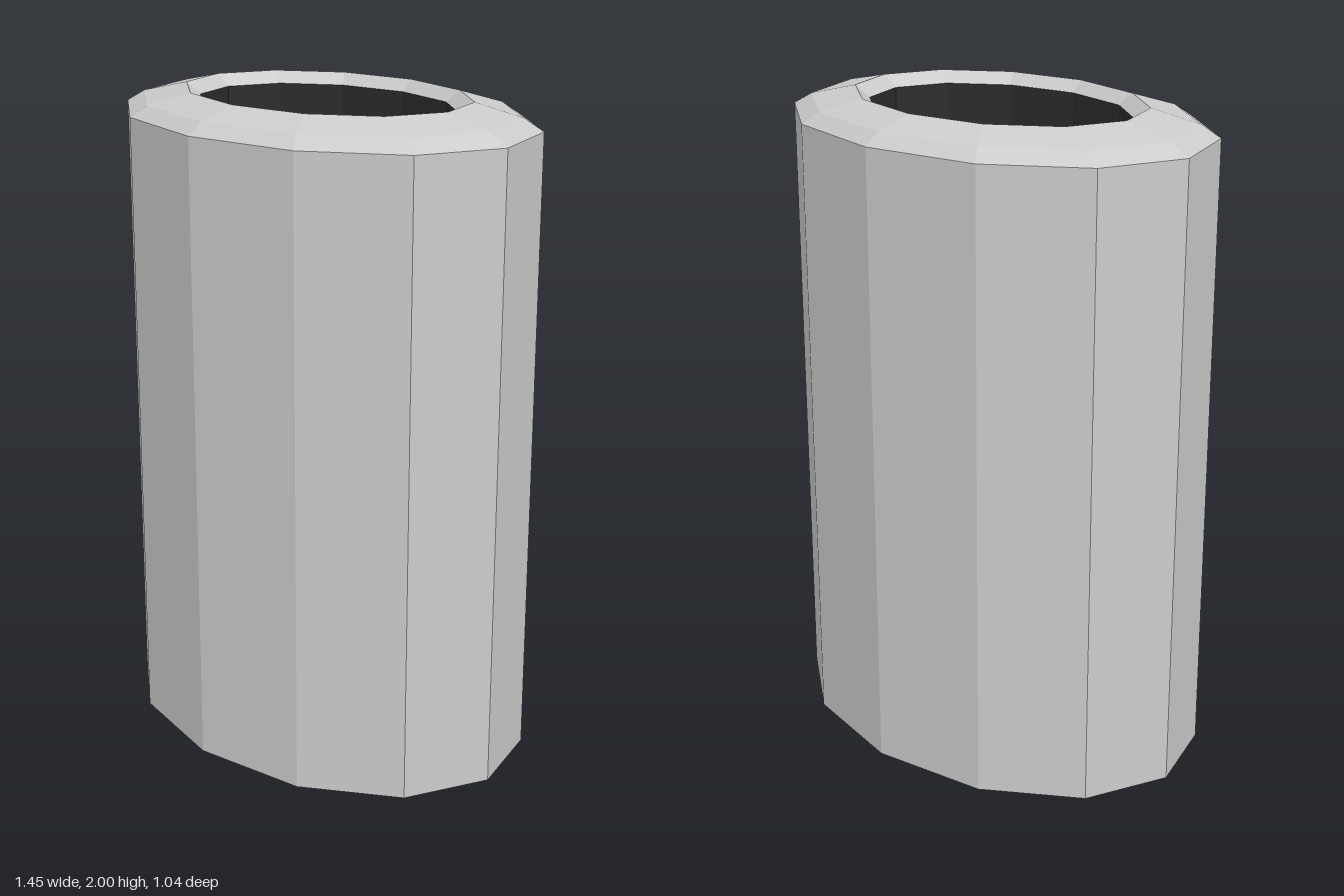
import * as THREE from 'three';

const SIDES = 12;
const DEPTH_RATIO = 0.72; // oval plan: z radius relative to x radius

// Oval, faceted solid of revolution from [radius, height] pairs
function ovalLathe(name, profile, color) {
  const points = profile.map(([r, y]) => new THREE.Vector2(r, y));
  const geometry = new THREE.LatheGeometry(points, SIDES);
  geometry.scale(1, 1, DEPTH_RATIO);
  geometry.computeVertexNormals();
  const mesh = new THREE.Mesh(
    geometry,
    new THREE.MeshStandardMaterial({ color, flatShading: true })
  );
  mesh.name = name;
  return mesh;
}

export function createModel() {
  const group = new THREE.Group();
  group.name = 'ovalContainer';

  // Closed base and straight outer wall
  group.add(ovalLathe('body', [[0, 0], [0.725, 0], [0.725, 1.93]], 0xcccccc));

  // Bevelled shoulder, gently sloped top and inner lip
  group.add(ovalLathe('rim', [[0.725, 1.93], [0.66, 1.965], [0.5, 2], [0.45, 1.965]], 0xcccccc));

  // Dark hollow: wall running down to the floor
  group.add(ovalLathe('cavity', [[0.45, 1.965], [0.45, 0.1], [0, 0.1]], 0x2b2b2b));

  return group;
}
